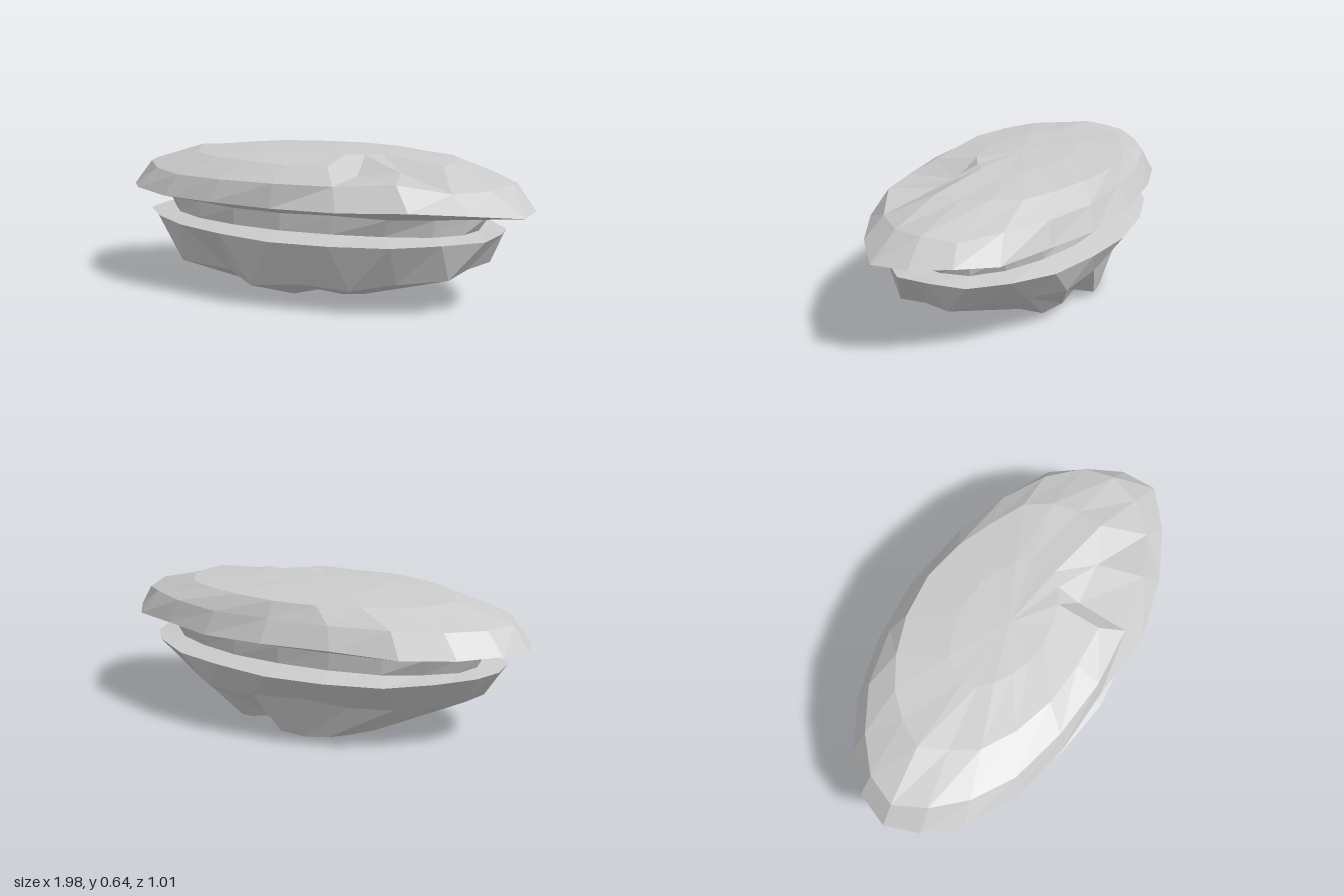
import * as THREE from 'three';

const SIDES = 20;

// Cross-sections from the ground up: half-width and half-depth, centre, twist in sides,
// lift of the long ends, and roughness in radius and height
const RINGS = [
  { y: 0.02, rx: 0.35, rz: 0.26, cx: -0.02, cz: -0.09, twist: -0.8, lift: 0.01, rough: 0.2, bump: 0.04 },
  { y: 0.155, rx: 0.74, rz: 0.42, cz: 0.02, twist: -0.5, lift: 0.015, tilt: 0.035, rough: 0.14, bump: 0.04 },
  { y: 0.31, rx: 0.86, rz: 0.485, lift: 0.012, rough: 0.04, bump: 0.01 },
  { y: 0.328, rx: 0.76, rz: 0.38, rough: 0.04 },
  { y: 0.405, rx: 0.79, rz: 0.385, rough: 0.04, bump: 0.01 },
  { y: 0.435, rx: 0.98, rz: 0.495, lift: -0.005, rough: 0.04, bump: 0.01 },
  { y: 0.535, rx: 0.89, rz: 0.455, lift: -0.007, rough: 0.04, bump: 0.02 },
  { y: 0.605, rx: 0.64, rz: 0.38, cz: -0.03, rough: 0.06, bump: 0.01 },
  { y: 0.63, rx: 0.32, rz: 0.19, cz: -0.02, rough: 0.05, bump: 0.008 },
];

// Chips and corners, keyed by ring and side: radius factor and height offset
const CHIPS = {
  '5-1': [1.06, -0.005], '5-2': [1.04, 0.015], '5-3': [1.06, 0.025], '5-4': [1.06, 0.01],
  '5-5': [0.97, 0], '5-10': [1.02, -0.01], '5-14': [1.04, 0.01], '5-15': [1.04, 0.005],
  '6-3': [1, 0.025], '7-2': [0.88, -0.025], '7-3': [0.72, -0.05],
  '1-7': [0.85, 0.02], '1-9': [0.9, 0.02], '0-7': [0.8, 0.03], '0-17': [0.8, 0.03],
};

// Seeded numbers for the uneven faces
function makeRandom(seed) {
  return () => {
    seed = (seed * 16807) % 2147483647;
    return seed / 2147483647 - 0.5;
  };
}

function rockGeometry() {
  const random = makeRandom(7177);
  const points = [0, 0, -0.04];
  RINGS.forEach((ring, k) => {
    const { y, rx, rz, cx = 0, cz = 0, twist = 0, lift = 0, tilt = 0, rough, bump = 0 } = ring;
    for (let i = 0; i < SIDES; i++) {
      const a = ((i + twist) / SIDES) * Math.PI * 2;
      const [factor, rise] = CHIPS[`${k}-${i}`] ?? [1, 0];
      const s = factor * (1 + random() * rough);
      const h = y + rise + lift * Math.cos(2 * a) - tilt * Math.sin(a) + random() * bump;
      points.push(cx + rx * s * Math.cos(a), Math.max(0, h), cz + rz * s * Math.sin(a));
    }
  });
  points.push(0, 0.637, 0);

  // Fans close the two ends, quads join neighbouring rings
  const index = [];
  const last = RINGS.length - 1;
  const top = 1 + RINGS.length * SIDES;
  const at = (ring, i) => 1 + ring * SIDES + (i % SIDES);
  for (let i = 0; i < SIDES; i++) {
    index.push(0, at(0, i), at(0, i + 1), top, at(last, i + 1), at(last, i));
    for (let k = 0; k < last; k++) {
      const a = at(k, i), b = at(k, i + 1), c = at(k + 1, i), d = at(k + 1, i + 1);
      index.push(a, c, b, b, c, d);
    }
  }
  const geometry = new THREE.BufferGeometry();
  geometry.setAttribute('position', new THREE.Float32BufferAttribute(points, 3));
  geometry.setIndex(index);
  const faceted = geometry.toNonIndexed();
  faceted.computeVertexNormals();
  return faceted;
}

export function createModel() {
  const group = new THREE.Group();
  group.name = 'layeredRock';
  const material = new THREE.MeshStandardMaterial({ color: 0xcccccc, flatShading: true });
  const rock = new THREE.Mesh(rockGeometry(), material);
  rock.name = 'rock';
  group.add(rock);
  return group;
}
